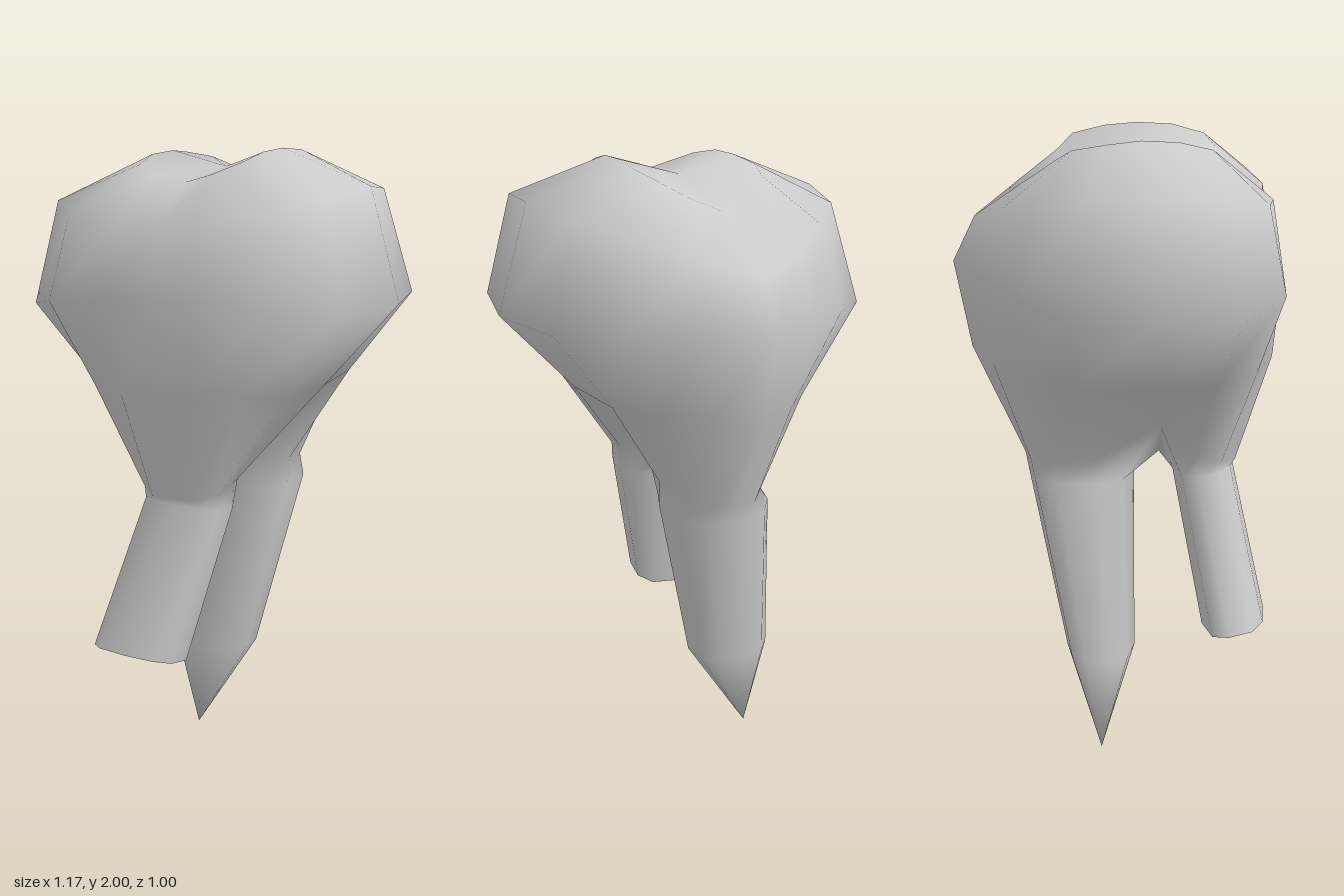
import * as THREE from 'three';

const material = () => new THREE.MeshStandardMaterial({ color: 0xcccccc });

// Half outlines [x, y, z] from the back, round the +x side, to the front
const cusps = [[0, 1.88, -0.2], [0.1, 1.92, -0.18], [0.17, 1.96, -0.13], [0.2, 1.98, -0.03], [0.19, 1.99, 0.07],
  [0.19, 1.985, 0.18], [0.17, 1.96, 0.28], [0.09, 1.93, 0.31], [0, 1.91, 0.3]];
const shoulder = [[0, 1.74, -0.43], [0.16, 1.78, -0.35], [0.31, 1.83, -0.24], [0.44, 1.86, -0.1], [0.485, 1.88, 0.09],
  [0.45, 1.86, 0.31], [0.32, 1.83, 0.43], [0.13, 1.81, 0.465], [0, 1.8, 0.45]];
const belly = [[0, 1.6, -0.5], [0.18, 1.59, -0.405], [0.36, 1.57, -0.29], [0.52, 1.55, -0.15], [0.585, 1.55, 0.095],
  [0.525, 1.55, 0.345], [0.365, 1.58, 0.48], [0.14, 1.6, 0.5], [0, 1.6, 0.49]];
const neck = [[0, 1.33, -0.45], [0.13, 1.32, -0.38], [0.24, 1.31, -0.27], [0.33, 1.3, -0.12], [0.355, 1.3, 0.095],
  [0.33, 1.3, 0.29], [0.25, 1.32, 0.42], [0.12, 1.33, 0.48], [0, 1.33, 0.47]];
const fork = [[0, 0.98, -0.29], [0.07, 0.98, -0.27], [0.13, 0.99, -0.2], [0.16, 1.01, -0.07], [0.11, 1.1, 0.14],
  [0.14, 1.01, 0.25], [0.13, 0.99, 0.33], [0.07, 0.98, 0.38], [0, 0.98, 0.385]];

// Mirror a half outline into a closed ring, tilted slightly to one side
function fullRing(half) {
  const mirrored = half.slice(1, -1).reverse().map(([x, y, z]) => [-x, y, z]);
  return [...half, ...mirrored].map(([x, y, z]) => [x - 0.01 * (y < 1.2), y + 0.05 * x, z]);
}

// Root section: ten points, with the last one facing the other root
function rootRing(dir, cx, cz, rx, rz, y, slope) {
  return Array.from({ length: 10 }, (_, j) => {
    const a = THREE.MathUtils.degToRad(j < 9 ? -45 + j * 33.75 : 270);
    const c = Math.cos(a), s = Math.sin(a);
    const round = (v) => Math.sign(v) * Math.pow(Math.abs(v), 0.8);
    return [cx + dir * rx * round(c), y + slope * s, cz + dir * rz * round(s)];
  });
}

function buildGeometry(points, index) {
  const g = new THREE.BufferGeometry();
  g.setAttribute('position', new THREE.Float32BufferAttribute(points.flat(), 3));
  g.setIndex(index);
  g.computeVertexNormals();
  return g;
}

export function createModel() {
  const group = new THREE.Group();
  const points = [], index = [];

  const add = (ring) => ring.map((p) => points.push(p) - 1);
  const loft = (a, b) => a.forEach((_, i) => {
    const j = (i + 1) % a.length;
    index.push(a[i], a[j], b[j], a[i], b[j], b[i]);
  });
  const fan = (ring, apex, up) => ring.forEach((v, i) => {
    const w = ring[(i + 1) % ring.length];
    if (up) index.push(apex, w, v);
    else index.push(apex, v, w);
  });

  // Crown, from the dipped biting surface to the fork of the roots
  const rings = [cusps, shoulder, belly, neck, fork].map((h) => add(fullRing(h)));
  for (let i = 0; i < 4; i++) loft(rings[i], rings[i + 1]);
  fan(rings[0], add([[0, 1.94, 0.07]])[0], true);

  // Split the fork ring in two, sharing a point in the middle of the arch
  const low = rings[4];
  const arch = add([[-0.01, 0.98, 0.14]])[0];
  const frontLoop = [...low.slice(4, 13), arch];
  const backLoop = [...low.slice(12), ...low.slice(0, 5), arch];

  // Front root, ending in a slanted cut
  const frontTop = add(rootRing(1, -0.01, 0.28, 0.14, 0.095, 0.94, 0.02));
  const cut = rootRing(1, -0.135, 0.38, 0.155, 0.1, 0.45, 0.027);
  loft(frontLoop, frontTop);
  loft(frontTop, add(cut));

  // Back root, tapering to a point
  const backTop = add(rootRing(-1, -0.02, -0.11, 0.17, 0.17, 0.93, 0));
  const backLow = add(rootRing(-1, -0.115, -0.05, 0.135, 0.11, 0.34, 0));
  loft(backLoop, backTop);
  loft(backTop, backLow);
  fan(backLow, add([[-0.19, 0, -0.05]])[0], false);

  const tooth = new THREE.Mesh(buildGeometry(points, index), material());
  tooth.name = 'toothCrownAndRoots';
  group.add(tooth);

  // Slightly hollow face closing the front root
  const capIndex = cut.flatMap((_, i) => [10, i, (i + 1) % 10]);
  const cap = new THREE.Mesh(buildGeometry([...cut, [-0.135, 0.46, 0.38]], capIndex), material());
  cap.name = 'frontRootEnd';
  group.add(cap);

  return group;
}
